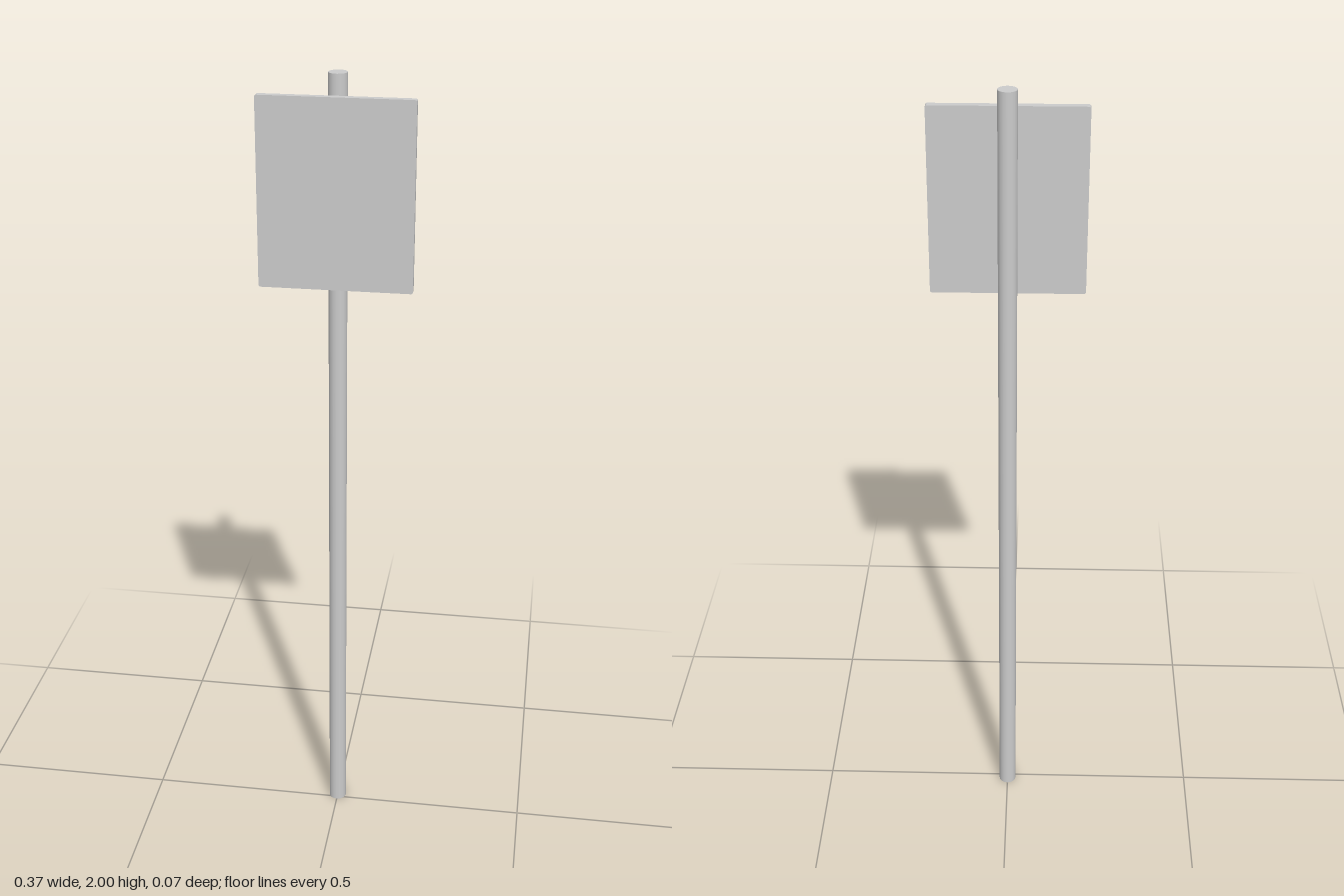
import * as THREE from 'three';

// Rectangle outline with slightly rounded corners, centred on the origin
function roundedRect(w, h, r) {
  const x = w / 2, y = h / 2;
  const s = new THREE.Shape();
  s.moveTo(-x + r, -y);
  s.lineTo(x - r, -y);
  s.absarc(x - r, -y + r, r, -Math.PI / 2, 0);
  s.lineTo(x, y - r);
  s.absarc(x - r, y - r, r, 0, Math.PI / 2);
  s.lineTo(-x + r, y);
  s.absarc(-x + r, y - r, r, Math.PI / 2, Math.PI);
  s.lineTo(-x, -y + r);
  s.absarc(-x + r, -y + r, r, Math.PI, Math.PI * 1.5);
  return s;
}

export function createModel() {
  const group = new THREE.Group();
  const material = new THREE.MeshStandardMaterial({ color: 0xcccccc });

  // Round post, full height
  const post = new THREE.Mesh(new THREE.CylinderGeometry(0.0225, 0.0225, 2, 16), material);
  post.name = 'post';
  post.position.set(0, 1, -0.0115);
  group.add(post);

  // Sign plate standing just clear of the front of the post
  const plate = new THREE.Mesh(
    new THREE.ExtrudeGeometry(roundedRect(0.365, 0.45, 0.005), { depth: 0.017, bevelEnabled: false, curveSegments: 4 }),
    material
  );
  plate.name = 'signPlate';
  plate.position.set(0, 1.728, 0.016);
  group.add(plate);

  return group;
}
